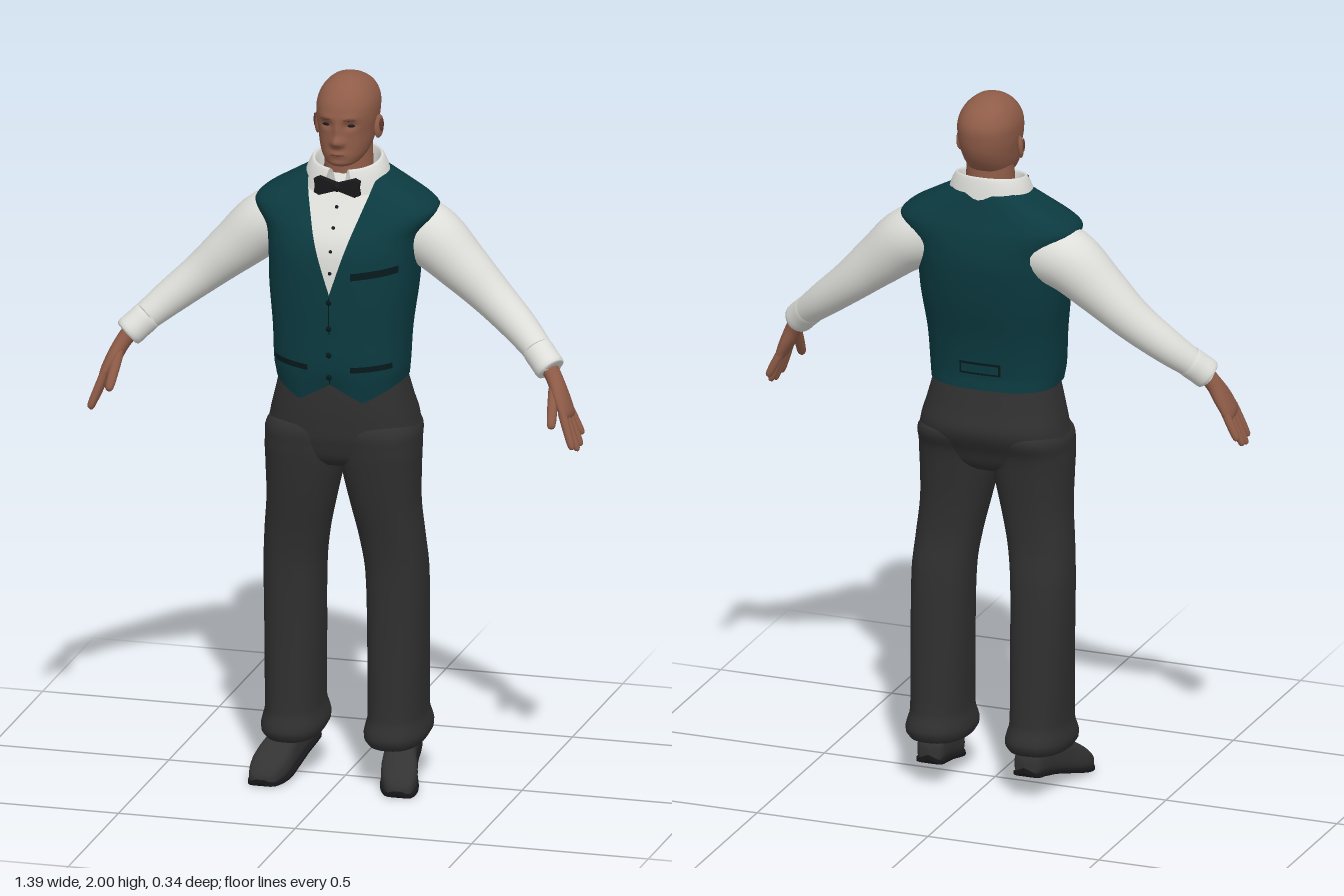
import * as THREE from 'three';

const mat = (name, color, side = THREE.FrontSide) => {
  const m = new THREE.MeshStandardMaterial({ color, side });
  m.name = name;
  return m;
};

// Smooth interpolation of table rows, keyed on their first column
function sample(tab, key) {
  const N = tab.length - 1;
  let i = 0;
  while (i < N - 1 && key > tab[i + 1][0]) i++;
  const h = tab[i + 1][0] - tab[i][0];
  const s = THREE.MathUtils.clamp((key - tab[i][0]) / h, 0, 1);
  const slope = (k, c) => {
    const a = tab[Math.max(k - 1, 0)], b = tab[Math.min(k + 1, N)];
    return (b[c] - a[c]) / (b[0] - a[0]);
  };
  return tab[0].map((_, c) => c === 0 ? key :
    tab[i][c] * (1 + 2 * s) * (1 - s) ** 2 + slope(i, c) * h * s * (1 - s) ** 2 +
    tab[i + 1][c] * s * s * (3 - 2 * s) + slope(i + 1, c) * h * s * s * (s - 1));
}
// Row keys: every gap of the table split into k steps
function keysOf(tab, k) {
  const out = [tab[0][0]];
  for (let i = 1; i < tab.length; i++)
    for (let j = 1; j <= k; j++) out.push(tab[i - 1][0] + (tab[i][0] - tab[i - 1][0]) * j / k);
  return out;
}
// Skin over rows of points; f(key, u) gives [x, y, z]
function loft(keys, cols, closed, f) {
  const pos = [], idx = [], w = closed ? cols : cols + 1;
  for (const k of keys) for (let j = 0; j < w; j++) pos.push(...f(k, j / cols));
  for (let i = 0; i < keys.length - 1; i++) for (let j = 0; j < cols; j++) {
    const a = i * w + j, b = i * w + (j + 1) % w;
    idx.push(a, b, b + w, a, b + w, a + w);
  }
  const g = new THREE.BufferGeometry();
  g.setAttribute('position', new THREE.Float32BufferAttribute(pos, 3));
  g.setIndex(idx);
  g.computeVertexNormals();
  return g;
}
// Point on a rounded outline, angle 0 at the front
function outline(rx, zf, zb, n, t) {
  const p = v => Math.sign(v) * Math.abs(v) ** (2 / n);
  return [Math.max(rx, 0) * p(Math.sin(t)), (zf + zb) / 2 + (zf - zb) / 2 * p(Math.cos(t))];
}
// Tube through stations [x, y, z, thickness, breadth towards z]
function limb(stations, cols = 20, k = 4) {
  const tab = stations.map((s, i) => [i, ...s]), last = tab.length - 1;
  return loft(keysOf(tab, k), cols, true, (key, u) => {
    const [, x, y, z, ra, rb] = sample(tab, key);
    const at = q => new THREE.Vector3(...sample(tab, q).slice(1, 4));
    const T = at(Math.min(key + 0.05, last)).sub(at(Math.max(key - 0.05, 0))).normalize();
    const A = new THREE.Vector3(0, 0, 1).addScaledVector(T, -T.z).normalize();
    const B = T.clone().cross(A), t = u * Math.PI * 2;
    const p = new THREE.Vector3(x, y, z).addScaledVector(A, Math.max(rb, 0) * Math.cos(t));
    return p.addScaledVector(B, Math.max(ra, 0) * Math.sin(t)).toArray();
  });
}
function digit(a, b, r) {
  const A = new THREE.Vector3(...a), B = new THREE.Vector3(...b), at = q => A.clone().lerp(B, q).toArray();
  return limb([[0, r], [0.5, r], [0.92, r * 0.8], [1, 0]].map(([q, s]) => [...at(q), s, s]), 10, 3);
}
function mirrored(g) {
  const m = g.clone().scale(-1, 1, 1), ix = m.index.array;
  for (let i = 0; i < ix.length; i += 3) [ix[i], ix[i + 1]] = [ix[i + 1], ix[i]];
  m.computeVertexNormals();
  return m;
}

export function createModel() {
  const root = new THREE.Group();
  const skin = mat('skin', 0x8f5c48), darkSkin = mat('dark skin', 0x5f3a2e);
  const teal = mat('vest teal', 0x0b3a40, THREE.DoubleSide), trim = mat('vest trim', 0x07191c, THREE.DoubleSide);
  const white = mat('shirt white', 0xdededa, THREE.DoubleSide);
  const cloth = mat('trouser charcoal', 0x2f2f30), shoeMat = mat('shoe leather', 0x333334);
  const black = mat('black', 0x18181a);
  const add = (name, g, m) => {
    const mesh = new THREE.Mesh(g, m);
    mesh.name = name;
    root.add(mesh);
    return mesh;
  };
  const pair = (name, g, m) => { add('left ' + name, g, m); add('right ' + name, mirrored(g), m); };
  const ball = (x, y, z, a, b, c) => new THREE.SphereGeometry(1, 16, 10).scale(a, b, c).translate(x, y, z);
  const bump = (x, y, cx, cy, sx, sy) => Math.exp(-(((x - cx) / sx) ** 2) - ((y - cy) / sy) ** 2);
  const TAU = Math.PI * 2;

  // Torso rings: y, half width, front z, back z
  const torso = [[1.15, 0.18, 0.152, -0.112], [1.2, 0.185, 0.163, -0.11], [1.3, 0.19, 0.165, -0.122],
    [1.42, 0.203, 0.165, -0.15], [1.52, 0.208, 0.16, -0.166], [1.575, 0.218, 0.143, -0.166], [1.63, 0.255, 0.108, -0.157],
    [1.66, 0.233, 0.088, -0.148], [1.70, 0.165, 0.062, -0.136], [1.735, 0.1, 0.04, -0.125]];
  const N = 2.6;
  add('shirt body', loft(keysOf(torso, 4), 64, true, (y, u) => {
    const [, rx, zf, zb] = sample(torso, y);
    const [x, z] = outline(rx - 0.012, zf - 0.008, zb + 0.01, N, u * TAU);
    return [x, Math.max(y - 0.005, 1.18), z];
  }), white);

  // Vest, open along the V neck, with a pointed front hem
  const neck = y => y < 1.42 ? 0 : y < 1.68 ? (y - 1.42) / 0.26 * 0.085 : 0.085 + (y - 1.68) / 0.055 * 0.015;
  add('vest', loft(keysOf(torso, 6), 96, false, (y, u) => {
    const [, rx, zf, zb] = sample(torso, y);
    const t0 = Math.asin(Math.min(1, neck(y) / rx) ** (N / 2));
    const [x, z] = outline(rx, zf, zb, N, t0 + u * (TAU - 2 * t0));
    const dip = 0.05 * Math.max(0, 1 - Math.abs(Math.abs(x) - 0.09) / 0.09) * THREE.MathUtils.clamp(z / 0.1, 0, 1);
    return [x, y + (0.012 - dip) * Math.max(0, 1 - (y - 1.15) / 0.06), z];
  }), teal);

  // Thin strips that follow the vest surface
  const strip = (x0, x1, yc, h, rise, side) => loft([0, 1], 16, false, (v, u) => {
    const x = x0 + (x1 - x0) * u, y = yc + (v - 0.5) * h + rise * (u - 0.5);
    const [, rx, zf, zb] = sample(torso, y);
    const d = (1 - Math.abs(x / rx) ** N) ** (1 / N);
    return [x, y, (zf + zb) / 2 + side * ((zf - zb) / 2 * d + 0.004)];
  });
  add('chest pocket', strip(0.06, 0.18, 1.485, 0.02, 0.018, 1), trim);
  pair('waist pocket', strip(0.06, 0.165, 1.215, 0.016, 0.01, 1), trim);
  add('back strap border', strip(0.06, -0.06, 1.225, 0.036, 0, -1), trim);
  add('back strap', strip(0.054, -0.054, 1.225, 0.024, 0, -1).translate(0, 0, -0.002), teal);
  add('front seam', strip(-0.0015, 0.0015, 1.29, 0.25, 0, 1), trim);

  // Buttons and studs
  for (const y of [1.4, 1.325, 1.25, 1.185]) add('vest button', ball(0, y, sample(torso, y)[2] + 0.003, 0.008, 0.008, 0.004), trim);
  for (const y of [1.48, 1.54, 1.6, 1.65]) add('shirt stud', ball(0, y, sample(torso, y)[2] - 0.007, 0.005, 0.005, 0.004), black);

  // Folded collar: key, half width, front z, back z, y
  const collar = [[0, 0.082, 0.05, -0.108, 1.71], [1, 0.088, 0.058, -0.112, 1.755], [1.5, 0.096, 0.066, -0.118, 1.76],
    [2, 0.11, 0.075, -0.124, 1.735], [3, 0.123, 0.084, -0.13, 1.695]];
  add('collar', loft(keysOf(collar, 4), 48, false, (k, u) => {
    const [, rx, zf, zb, y] = sample(collar, k), t0 = 0.12 + 0.1 * k;
    const [x, z] = outline(rx, zf, zb, 2.1, t0 + u * (TAU - 2 * t0));
    return [x, y - 0.18 * z, z];
  }), white);

  // Bow tie
  const wing = new THREE.Shape([[0, -0.008], [0.05, -0.024], [0.063, -0.018], [0.06, 0], [0.063, 0.018], [0.05, 0.024], [0, 0.008]]
    .map(p => new THREE.Vector2(...p)));
  for (const s of [0, Math.PI]) {
    const g = new THREE.ExtrudeGeometry(wing, { depth: 0.014, bevelSize: 0.002, bevelThickness: 0.003, bevelSegments: 2 });
    add('bow tie wing', g.translate(0, 0, -0.007).rotateZ(s).translate(0, 1.706, 0.08), black);
  }
  add('bow tie knot', ball(0, 1.706, 0.083, 0.013, 0.014, 0.013), black);

  // Neck and head
  add('neck', new THREE.CylinderGeometry(0.064, 0.07, 0.16, 32).translate(0, 1.75, -0.035), skin);
  const head = [[1.755, 0, 0.035, 0.03], [1.761, 0.034, 0.07, -0.03], [1.78, 0.056, 0.081, -0.08], [1.81, 0.069, 0.081, -0.112],
    [1.85, 0.077, 0.08, -0.136], [1.89, 0.083, 0.083, -0.146], [1.93, 0.082, 0.075, -0.146], [1.965, 0.067, 0.05, -0.124],
    [1.988, 0.042, 0.018, -0.088], [1.997, 0.02, -0.01, -0.056], [2, 0, -0.03, -0.034]];
  add('head', loft(keysOf(head, 7), 96, true, (y, u) => {
    const [, rx, zf, zb] = sample(head, y);
    const [x, z] = outline(rx, zf, zb, 2.25, u * TAU), ax = Math.abs(x);
    const nose = 0.022 * bump(x, y, 0, 1.833, 0.014, 0.014) + 0.01 * bump(x, y, 0, 1.86, 0.01, 0.025) +
      0.006 * bump(ax, y, 0.014, 1.828, 0.008, 0.008);
    const rest = -0.01 * bump(ax, y, 0.033, 1.878, 0.018, 0.01) + 0.004 * bump(ax, y, 0.03, 1.9, 0.025, 0.008) +
      0.006 * bump(x, y, 0, 1.797, 0.022, 0.009) + 0.004 * bump(x, y, 0, 1.772, 0.02, 0.01);
    return [x, y, z + (z > 0 ? nose + rest : 0)];
  }), skin);
  pair('ear', ball(0, 0, 0, 0.009, 0.033, 0.02).rotateY(-0.35).rotateX(-0.15).translate(0.086, 1.853, -0.03), skin);
  pair('ear hollow', ball(0, 0, 0, 0.004, 0.019, 0.01).rotateY(-0.35).translate(0.094, 1.858, -0.028), darkSkin);
  pair('eye', ball(0.033, 1.878, 0.066, 0.013, 0.0045, 0.006), black);
  pair('brow', ball(0, 0, 0, 0.018, 0.003, 0.004).rotateY(0.35).translate(0.034, 1.897, 0.08), darkSkin);
  add('mouth', ball(0, 1.796, 0.085, 0.022, 0.0022, 0.004), darkSkin);

  // Sleeves and cuffs
  pair('sleeve', limb([[0.14, 1.58, -0.048, 0.088, 0.09], [0.23, 1.55, -0.042, 0.088, 0.09], [0.32, 1.475, -0.035, 0.073, 0.075],
    [0.41, 1.395, -0.025, 0.058, 0.06], [0.5, 1.32, 0.003, 0.048, 0.05], [0.575, 1.255, 0.043, 0.038, 0.04]], 28, 5), white);
  pair('cuff', limb([[0.55, 1.277, 0.03, 0.036, 0.038], [0.553, 1.274, 0.032, 0.042, 0.044], [0.575, 1.253, 0.046, 0.042, 0.044],
    [0.598, 1.231, 0.06, 0.041, 0.043], [0.6, 1.229, 0.061, 0.024, 0.026]], 28, 3), white);

  // Hands
  pair('palm', limb([[0.585, 1.245, 0.052, 0.024, 0.028], [0.612, 1.205, 0.067, 0.022, 0.028], [0.632, 1.165, 0.08, 0.021, 0.04],
    [0.651, 1.125, 0.09, 0.017, 0.045], [0.658, 1.108, 0.094, 0.01, 0.04], [0.66, 1.102, 0.095, 0, 0]], 24, 4), skin);
  [[-1.5, 1.05], [-0.5, 1.026], [0.5, 1.02], [1.5, 1.032]].forEach(([k, y]) =>
    pair('finger', digit([0.648, 1.13, 0.091 + 0.022 * k], [0.692 - 0.003 * k - (y - 1.02) * 0.3, y, 0.1 + 0.03 * k], 0.0115), skin));
  pair('thumb', digit([0.615, 1.185, 0.09], [0.627, 1.09, 0.158], 0.014), skin);

  // Trousers: seat, then legs with y, inner x, outer x, front z, back z
  const seat = [[0.9, 0, 0.02, 0.015], [0.915, 0.12, 0.1, -0.07], [0.98, 0.208, 0.134, -0.112], [1.04, 0.205, 0.14, -0.14],
    [1.1, 0.19, 0.14, -0.124], [1.18, 0.17, 0.134, -0.102]];
  add('trouser seat', loft(keysOf(seat, 5), 56, true, (y, u) => {
    const [, rx, zf, zb] = sample(seat, y);
    const [x, z] = outline(rx, zf, zb, 2.5, u * TAU);
    return [x, y, z];
  }), cloth);
  const leg = [[0.118, 0.14, 0.146, -0.02, -0.024], [0.12, 0.068, 0.222, 0.102, -0.146], [0.2, 0.068, 0.223, 0.1, -0.14],
    [0.4, 0.065, 0.226, 0.09, -0.125], [0.6, 0.06, 0.228, 0.087, -0.108], [0.7, 0.046, 0.222, 0.096, -0.09],
    [0.8, 0.024, 0.213, 0.114, -0.088], [0.9, 0.002, 0.214, 0.13, -0.096], [0.97, -0.004, 0.215, 0.138, -0.106],
    [1.03, 0, 0.205, 0.132, -0.125], [1.05, 0.06, 0.15, 0.08, -0.08]];
  pair('trouser leg', loft(keysOf(leg, 5), 40, true, (y, u) => {
    const [, xi, xo, zf, zb] = sample(leg, y);
    const [x, z] = outline((xo - xi) / 2, zf, zb, 2.4, u * TAU);
    return [x + (xi + xo) / 2, y - (y < 0.3 ? (z + 0.02) * 0.07 : 0), z];
  }), cloth);

  // Shoes run toe to heel: -z, centre x, half width, bottom y, top y
  const shoe = [[-0.168, 0.194, 0, 0.012, 0.016], [-0.163, 0.194, 0.024, 0.002, 0.034], [-0.145, 0.191, 0.041, 0, 0.055],
    [-0.1, 0.181, 0.052, 0.008, 0.09], [-0.04, 0.167, 0.046, 0.024, 0.128], [0.03, 0.154, 0.041, 0.044, 0.15],
    [0.1, 0.145, 0.04, 0.06, 0.145], [0.135, 0.141, 0.03, 0.066, 0.13], [0.143, 0.14, 0, 0.08, 0.11]];
  const shoeGeo = (thick, grow) => loft(keysOf(shoe, 4), 32, true, (k, u) => {
    const [, cx, w, yb, yt] = sample(shoe, k);
    const [x, y] = outline(w && w + grow, thick ? Math.min(yb + thick, yt) : yt, yb, thick ? 6 : 2.8, u * TAU);
    return [cx + x, Math.max(y, 0), -k];
  });
  pair('shoe', shoeGeo(0, 0), shoeMat);
  pair('shoe sole', shoeGeo(0.014, 0.003), black);

  return root;
}
